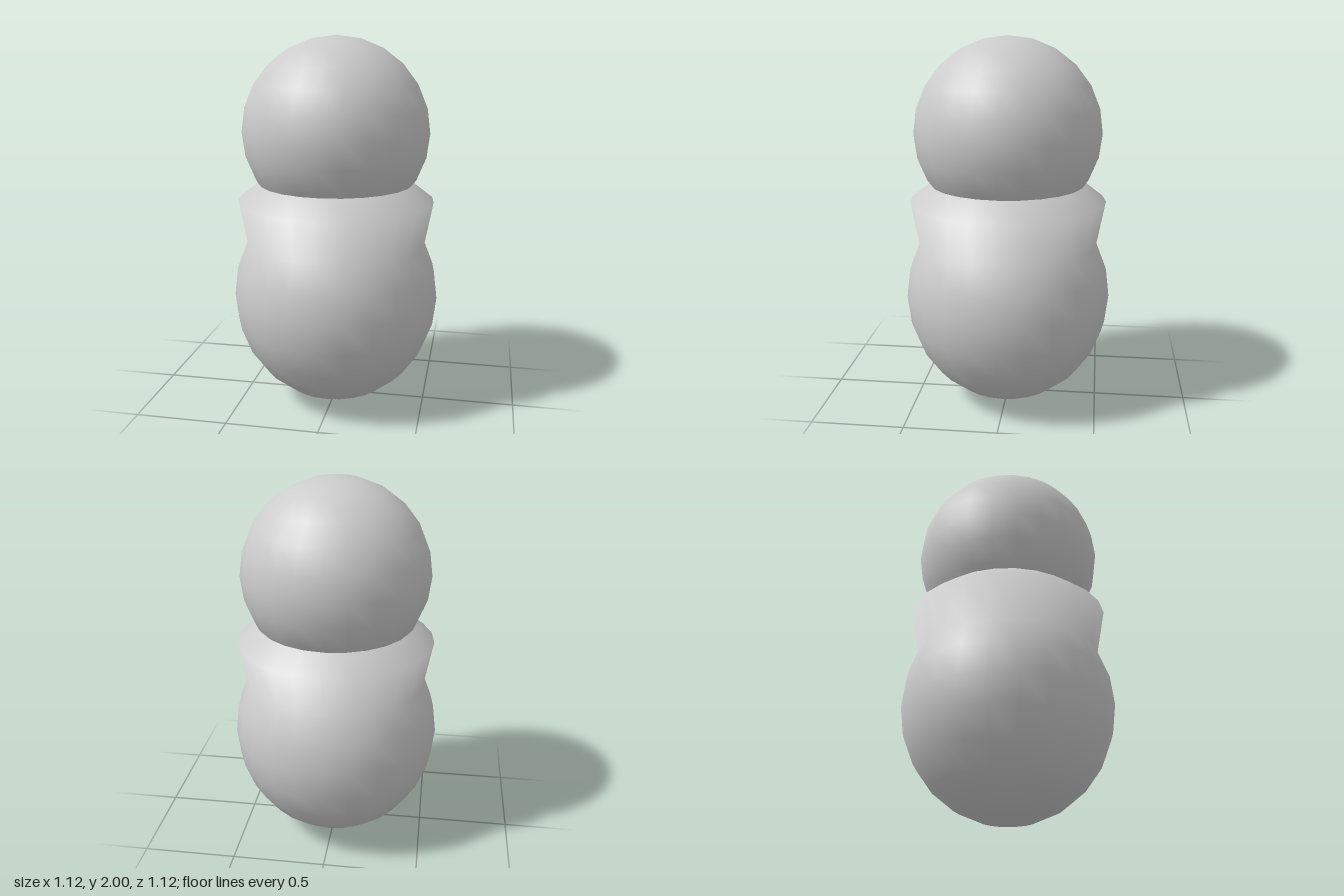
import * as THREE from 'three';

const grey = new THREE.MeshStandardMaterial({ color: 0xcccccc });
grey.name = 'light grey';

// Ball with 15 degree steps, stretched to its radii
function ball(name, radius, height, y) {
  const geometry = new THREE.SphereGeometry(1, 24, 12);
  geometry.scale(radius, height, radius);
  const mesh = new THREE.Mesh(geometry, grey);
  mesh.name = name;
  mesh.position.y = y;
  return mesh;
}

export function createModel() {
  const group = new THREE.Group();
  group.name = 'stackedFigure';

  // Head
  group.add(ball('head', 0.5, 0.5, 1.5));

  // Body: the upper rings flare out into shoulders, keeping the soft rounded normals
  const body = ball('body', 0.56, 0.6, 0.6);
  const p = body.geometry.attributes.position;
  for (let i = 0; i < p.count; i++) {
    if (p.getY(i) > 0.36) {
      p.setXYZ(i, p.getX(i) * 1.335, p.getY(i) * 1.26, p.getZ(i) * 1.335);
    }
  }
  group.add(body);

  return group;
}
